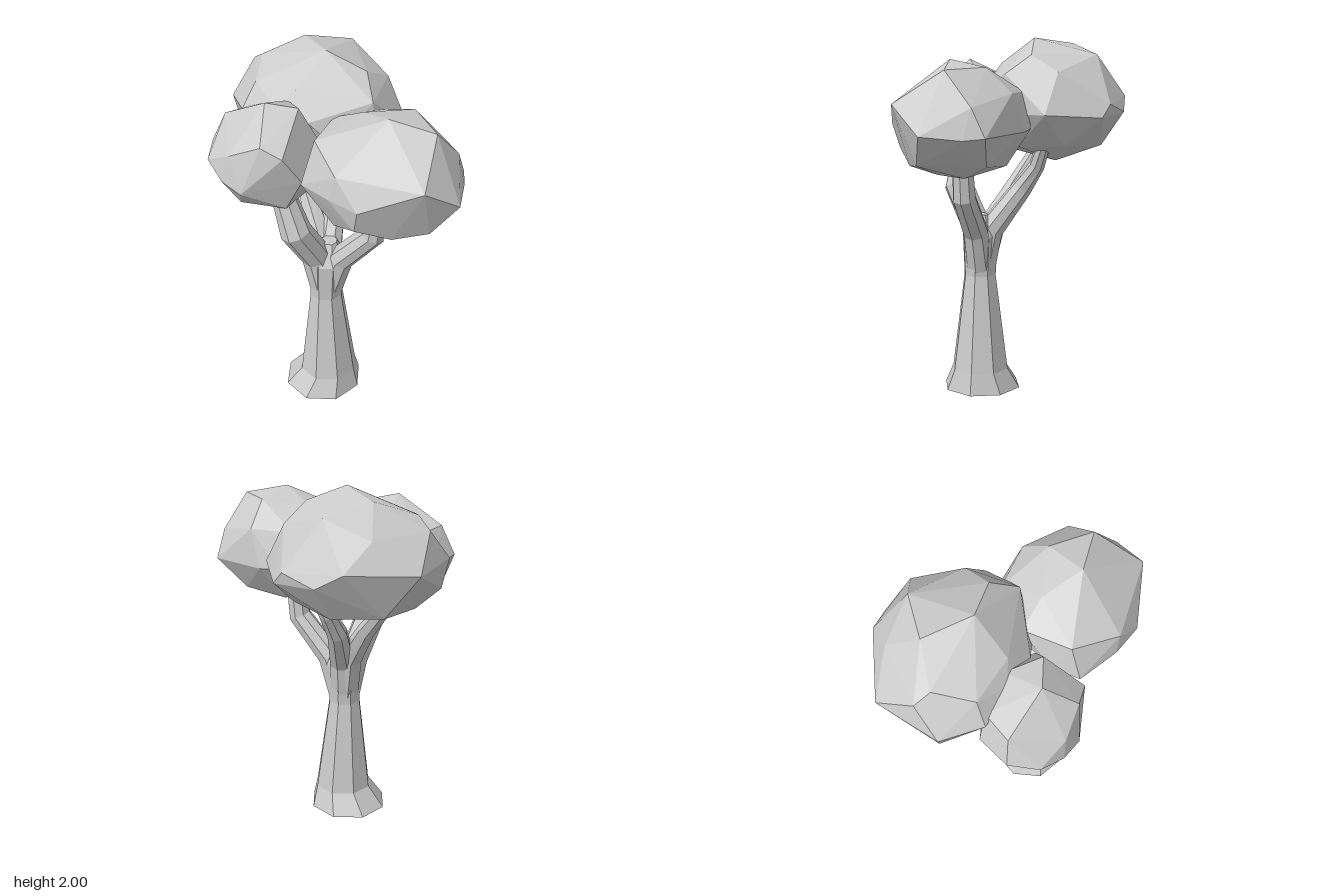
import * as THREE from 'three';
import { ConvexGeometry } from 'three/addons/geometries/ConvexGeometry.js';

const material = new THREE.MeshStandardMaterial({ color: 0xcccccc, flatShading: true });

function finish(name, geometry) {
  geometry.computeVertexNormals();
  const mesh = new THREE.Mesh(geometry, material);
  mesh.name = name;
  return mesh;
}

// Faceted limb through rings of [x, y, z, radius], capped at both ends
function limb(name, rings, sides, level = false) {
  const centres = rings.map(r => new THREE.Vector3(r[0], r[1], r[2]));
  const up = new THREE.Vector3(0, 1, 0), zAxis = new THREE.Vector3(0, 0, 1);
  const pos = [], idx = [], n = rings.length;
  centres.forEach((c, i) => {
    const t = level ? up : centres[Math.min(i + 1, n - 1)].clone().sub(centres[Math.max(i - 1, 0)]).normalize();
    const u = t.clone().cross(zAxis).normalize(), v = u.clone().cross(t);
    for (let j = 0; j < sides; j++) {
      const a = j / sides * Math.PI * 2, r = rings[i][3];
      pos.push(...c.clone().addScaledVector(u, r * Math.cos(a)).addScaledVector(v, r * Math.sin(a)).toArray());
    }
  });
  const last = (n - 1) * sides, bottom = n * sides, top = bottom + 1;
  pos.push(...centres[0].toArray(), ...centres[n - 1].toArray());
  for (let j = 0; j < sides; j++) {
    const k = (j + 1) % sides;
    for (let i = 0; i < last; i += sides) {
      const a = i + j, b = i + k, c = a + sides, d = b + sides;
      idx.push(a, c, b, b, c, d);
    }
    idx.push(bottom, j, k, top, last + k, last + j);
  }
  const g = new THREE.BufferGeometry();
  g.setAttribute('position', new THREE.Float32BufferAttribute(pos, 3));
  g.setIndex(idx);
  return finish(name, g.toNonIndexed());
}

// Rough-cut leaf mass: tiers of corner points from crown to underside, wrapped in a hull
function clump(name, tiers) {
  return finish(name, new ConvexGeometry(tiers.flat().map(p => new THREE.Vector3(...p))));
}

export function createModel() {
  const tree = new THREE.Group();
  tree.name = 'tree';

  // Trunk with flared foot, ending inside the fork
  tree.add(limb('trunk', [
    [-0.09, 0, 0.205, 0.225], [-0.055, 0.12, 0.205, 0.165], [-0.06, 0.67, 0.205, 0.093],
    [-0.055, 0.9, 0.2, 0.105], [-0.045, 1.02, 0.19, 0.045],
  ], 8, true));

  // Branches, each growing out of the trunk's waist
  tree.add(limb('leftBranch', [
    [-0.055, 0.68, 0.2, 0.08], [0.03, 0.93, 0.2, 0.073], [0.22, 1.15, 0.2, 0.065], [0.25, 1.4, 0.2, 0.055],
  ], 8));
  tree.add(limb('frontBranch', [
    [-0.06, 0.68, 0.205, 0.085], [-0.1, 0.93, 0.235, 0.085], [-0.155, 1.16, 0.36, 0.085], [-0.24, 1.42, 0.35, 0.06],
  ], 8));
  tree.add(limb('backBranch', [
    [-0.06, 0.68, 0.2, 0.08], [-0.07, 0.93, 0.145, 0.075], [-0.11, 1.17, -0.03, 0.058],
    [-0.09, 1.3, -0.12, 0.045], [-0.04, 1.48, -0.19, 0.035],
  ], 8));
  tree.add(limb('rightBranch', [
    [-0.07, 0.7, 0.2, 0.075], [-0.12, 0.97, 0.14, 0.07], [-0.25, 1.18, 0.04, 0.05], [-0.42, 1.4, -0.06, 0.035],
  ], 6));

  // Leaf masses
  tree.add(clump('leftFoliage', [
    [[0.31, 1.89, 0.24], [0.54, 1.84, 0.19], [0.36, 1.85, 0.03], [0.12, 1.82, 0.12]],
    [[0.165, 1.69, 0.53], [0.59, 1.67, 0.455], [-0.03, 1.75, 0.36], [-0.05, 1.74, 0.1],
      [0.12, 1.72, -0.1], [0.36, 1.72, -0.11], [0.6, 1.66, 0.03]],
    [[0.705, 1.52, 0.27], [0.3, 1.55, 0.575], [0.13, 1.56, 0.54], [0.27, 1.42, 0.545], [-0.07, 1.53, 0.44],
      [-0.085, 1.54, 0.28], [0.02, 1.5, -0.02], [0.18, 1.53, -0.16], [0.29, 1.52, -0.155],
      [0.61, 1.51, -0.045], [0.65, 1.5, 0.06]],
    [[0.58, 1.36, 0.33], [0.42, 1.34, 0.43], [0.1, 1.32, 0.42], [0.36, 1.275, 0.15],
      [0.1, 1.31, 0.2], [0.2, 1.33, -0.03], [0.45, 1.35, 0], [0.25, 1.275, 0.34]],
  ]));
  tree.add(clump('frontFoliage', [
    [[-0.31, 1.88, 0.34], [-0.16, 1.85, 0.27], [-0.3, 1.79, 0.13]],
    [[-0.57, 1.74, 0.3], [-0.5, 1.72, 0.14], [-0.42, 1.65, 0.53], [-0.25, 1.73, 0.51],
      [-0.14, 1.68, 0.49], [-0.09, 1.65, 0.2]],
    [[-0.64, 1.58, 0.33], [-0.58, 1.56, 0.48], [-0.46, 1.5, 0.55], [-0.34, 1.47, 0.575], [-0.08, 1.52, 0.41],
      [-0.07, 1.53, 0.28], [-0.14, 1.55, 0.1], [-0.3, 1.58, 0.04], [-0.58, 1.55, 0.15]],
    [[-0.57, 1.39, 0.32], [-0.44, 1.29, 0.32], [-0.31, 1.29, 0.38], [-0.17, 1.34, 0.42],
      [-0.4, 1.35, 0.48], [-0.14, 1.35, 0.25], [-0.3, 1.32, 0.15], [-0.5, 1.4, 0.15]],
  ]));
  tree.add(clump('backFoliage', [
    [[-0.18, 2, -0.08], [-0.39, 1.97, -0.25], [-0.2, 1.91, -0.43], [0.03, 1.91, -0.12], [-0.57, 1.89, -0.1]],
    [[-0.65, 1.83, -0.15], [-0.25, 1.86, 0.13], [-0.5, 1.84, 0.1], [0.08, 1.82, -0.28],
      [-0.45, 1.82, -0.42], [0.12, 1.81, 0], [-0.35, 1.77, 0.18], [-0.15, 1.73, 0.2], [-0.55, 1.7, 0.17]],
    [[-0.71, 1.66, 0], [-0.68, 1.66, -0.36], [-0.36, 1.68, -0.56], [-0.22, 1.6, -0.58], [-0.03, 1.65, -0.54],
      [0.03, 1.58, -0.51], [0.205, 1.6, -0.24], [0.14, 1.6, 0], [-0.03, 1.6, 0.15]],
    [[-0.68, 1.5, -0.02], [-0.57, 1.4, -0.1], [-0.5, 1.42, -0.36], [-0.25, 1.41, -0.45], [0.02, 1.42, -0.3],
      [0.05, 1.42, -0.05], [-0.2, 1.32, -0.2], [-0.3, 1.33, -0.08], [-0.15, 1.4, 0.1], [-0.45, 1.42, 0.1]],
  ]));
  return tree;
}
